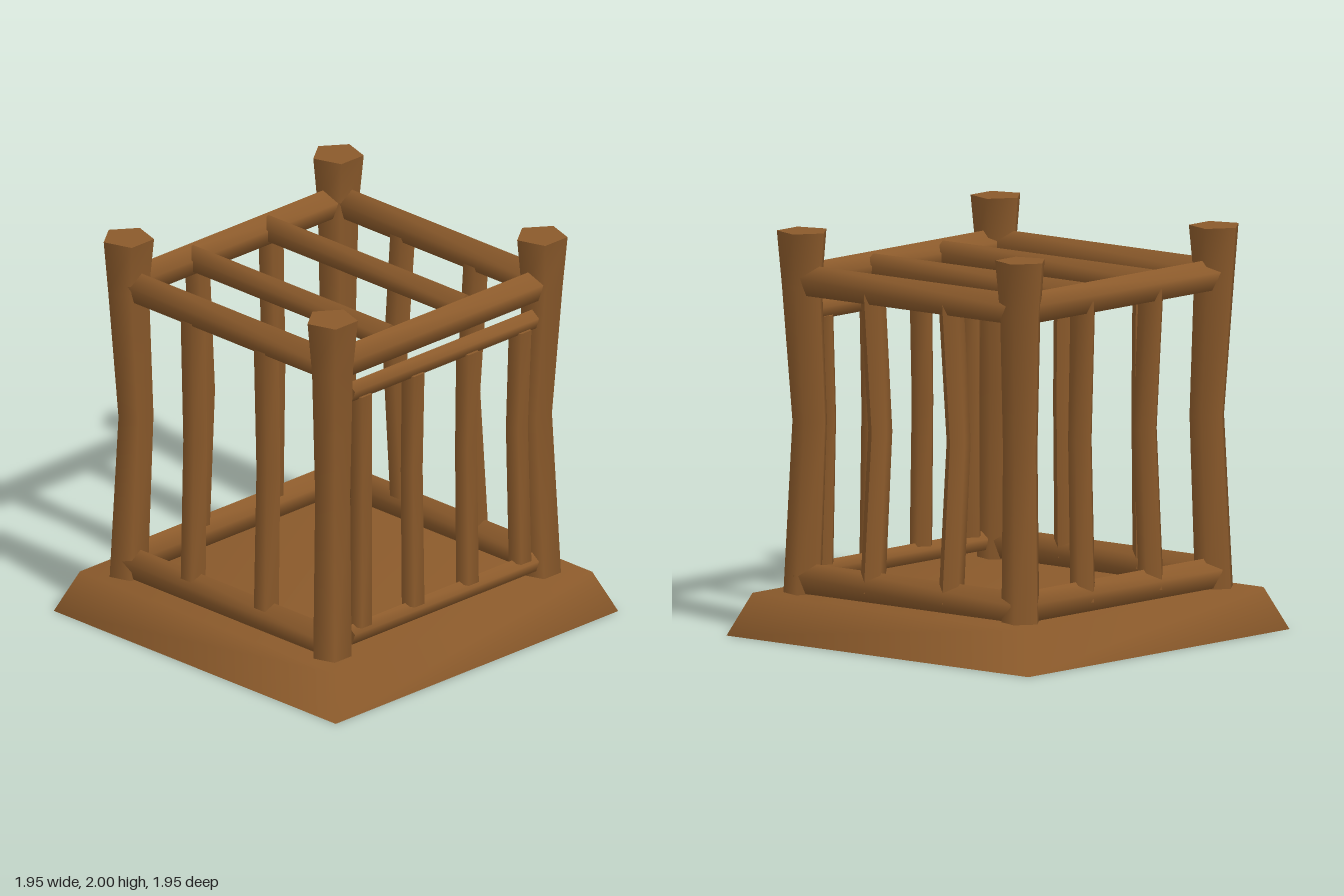
import * as THREE from 'three';

const wood = new THREE.MeshStandardMaterial({ color: 0x8b5a2b, side: THREE.DoubleSide });
wood.name = 'brown wood';

// Five-sided upright log through rings of [x, y, z, radius], listed bottom to top
function uprightLog(name, rings, thetaStart = Math.PI) {
  const n = rings.length - 1;
  const geo = new THREE.CylinderGeometry(1, 1, n, 5, n, false, thetaStart);
  const pos = geo.attributes.position;
  for (let i = 0; i < pos.count; i++) {
    const [x, y, z, r] = rings[Math.round(pos.getY(i) + n / 2)];
    pos.setXYZ(i, x + pos.getX(i) * r, y, z + pos.getZ(i) * r);
  }
  geo.computeVertexNormals();
  const mesh = new THREE.Mesh(geo, wood);
  mesh.name = name;
  return mesh;
}

// Straight five-sided log along x or z, with one ridge on top
function rail(name, axis, x, y, z, r, length) {
  const geo = new THREE.CylinderGeometry(r, r, length, 5, 1, false, axis === 'x' ? -Math.PI / 2 : Math.PI);
  if (axis === 'x') geo.rotateZ(-Math.PI / 2);
  else geo.rotateX(Math.PI / 2);
  geo.computeVertexNormals();
  const mesh = new THREE.Mesh(geo, wood);
  mesh.name = name;
  mesh.position.set(x, y, z);
  return mesh;
}

// Hollow sloping plinth, open underneath, with soft edges
function plinth() {
  const points = [];
  for (const [s, y] of [[0.975, 0], [0.885, 0.21]]) {
    points.push(-s, y, s, s, y, s, s, y, -s, -s, y, -s);
  }
  const index = [4, 5, 6, 4, 6, 7];
  for (let i = 0; i < 4; i++) {
    const j = (i + 1) % 4;
    index.push(i, j, j + 4, i, j + 4, i + 4);
  }
  const geo = new THREE.BufferGeometry();
  geo.setAttribute('position', new THREE.Float32BufferAttribute(points, 3));
  geo.setIndex(index);
  geo.computeVertexNormals();
  const mesh = new THREE.Mesh(geo, wood);
  mesh.name = 'base';
  return mesh;
}

export function createModel() {
  const model = new THREE.Group();
  model.name = 'wooden cage';
  model.add(plinth());

  // Corner posts, bowed inward and flared at the top
  for (const sx of [-1, 1]) {
    for (const sz of [-1, 1]) {
      const x = sx < 0 ? -0.735 : 0.712;
      const z = sz * 0.705;
      model.add(uprightLog('cornerPost', [
        [x, 0.18, z, 0.1],
        [x - sx * 0.027, 1.06, z - sz * 0.025, 0.091],
        [x, 1.73, z, 0.106],
        [x, 2, z, 0.131],
      ]));
    }
  }

  // Thick rails between the posts
  model.add(rail('topFrontRail', 'x', 0, 1.755, 0.712, 0.08, 1.4));
  for (const y of [1.755, 0.28]) {
    model.add(rail('backRail', 'x', 0, y, -0.705, 0.08, 1.4));
    model.add(rail('rightRail', 'z', -0.73, y, 0, 0.08, 1.4));
    model.add(rail('leftRail', 'z', 0.72, y, 0, 0.08, 1.4));
  }

  // Roof bars
  for (const x of [-0.3, 0.22]) model.add(rail('roofBar', 'z', x, 1.765, -0.005, 0.066, 1.37));

  // Side bars, bowed inward
  for (const z of [-0.253, 0.253]) {
    for (const [x, mid] of [[-0.73, -0.705], [0.72, 0.675]]) {
      model.add(uprightLog('sideBar', [
        [x, 0.26, z, 0.065],
        [mid, 1.05, z - 0.01, 0.062],
        [x, 1.75, z, 0.065],
      ], Math.PI / 2));
    }
  }

  // Back bars
  for (const s of [-1, 1]) {
    model.add(uprightLog('backBar', [
      [s * 0.255, 0.26, -0.71, 0.065],
      [s * 0.243, 1.05, -0.68, 0.062],
      [s * 0.255, 1.75, -0.71, 0.065],
    ]));
  }

  // Front gate: two thin rails and four bars
  const gate = new THREE.Group();
  gate.name = 'gate';
  for (const y of [0.295, 1.59]) gate.add(rail('gateRail', 'x', -0.01, y, 0.73, 0.05, 1.27));
  for (const [x, bow] of [[-0.562, 0.014], [-0.2, 0], [0.175, 0], [0.538, -0.012]]) {
    gate.add(uprightLog('gateBar', [
      [x, 0.33, 0.73, 0.059],
      [x + bow, 1.05, 0.72, 0.057],
      [x, 1.56, 0.73, 0.059],
    ]));
  }
  model.add(gate);

  return model;
}
